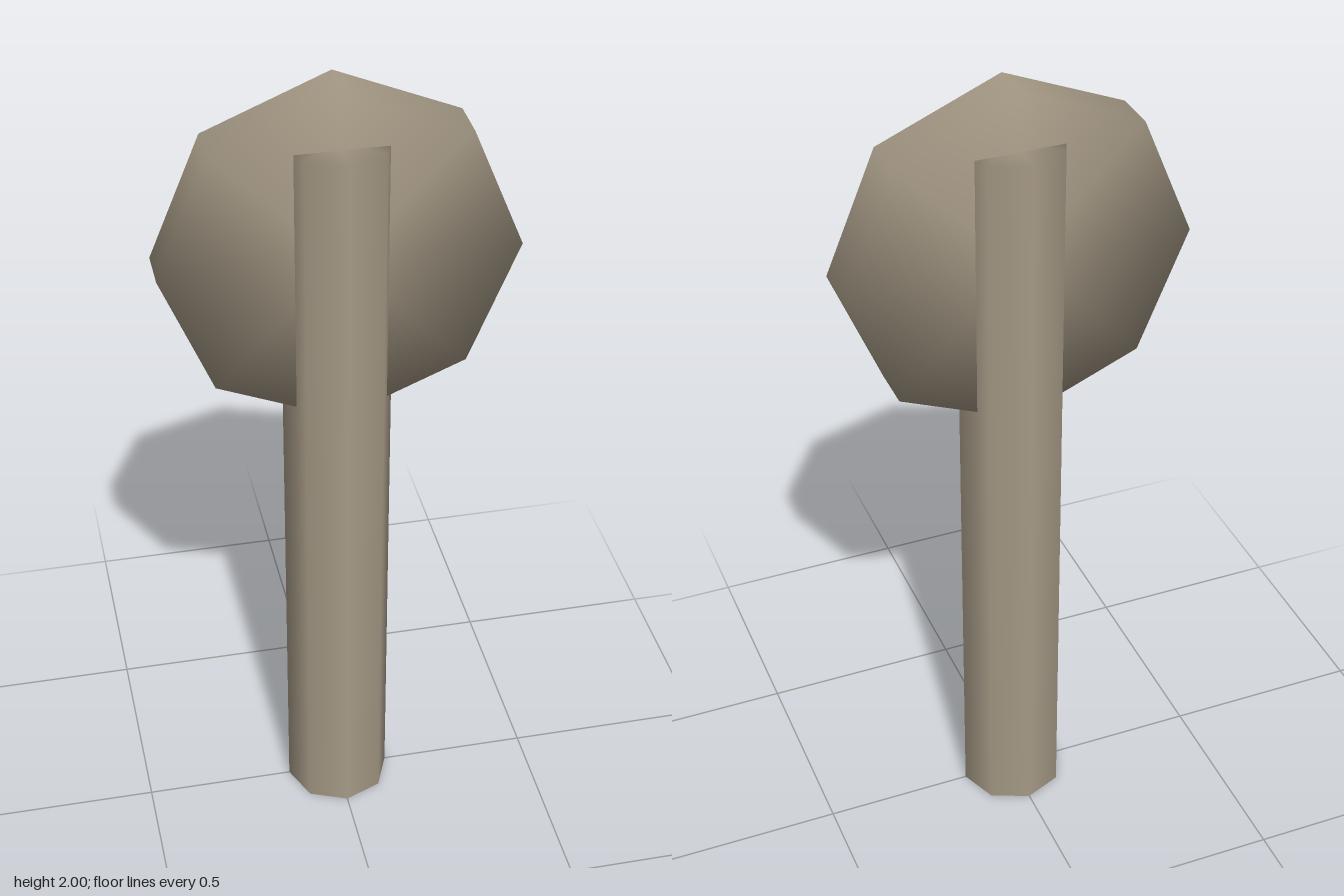
import * as THREE from 'three';

// Eight-sided cylinder whose caps share the radial rim normals of the sides.
function softCylinder(radius, height) {
  const geo = new THREE.CylinderGeometry(radius, radius, height, 8);
  const p = geo.attributes.position;
  const n = geo.attributes.normal;
  for (let i = 0; i < p.count; i++) {
    const r = Math.hypot(p.getX(i), p.getZ(i));
    if (r > radius * 0.5) n.setXYZ(i, p.getX(i) / r, 0, p.getZ(i) / r);
  }
  return geo;
}

export function createModel() {
  const model = new THREE.Group();
  const stone = new THREE.MeshStandardMaterial({ color: 0xa69a86 });
  stone.name = 'warm grey';

  // Upright post
  const post = new THREE.Mesh(softCylinder(0.13, 1.862), stone);
  post.name = 'post';
  post.position.y = 0.931;
  model.add(post);

  // Octagonal disc set through the top of the post, facing front and back
  const disc = new THREE.Mesh(softCylinder(0.417, 0.111), stone);
  disc.name = 'disc';
  disc.rotation.x = Math.PI / 2;
  disc.position.set(0, 1.583, -0.001);
  model.add(disc);

  return model;
}
